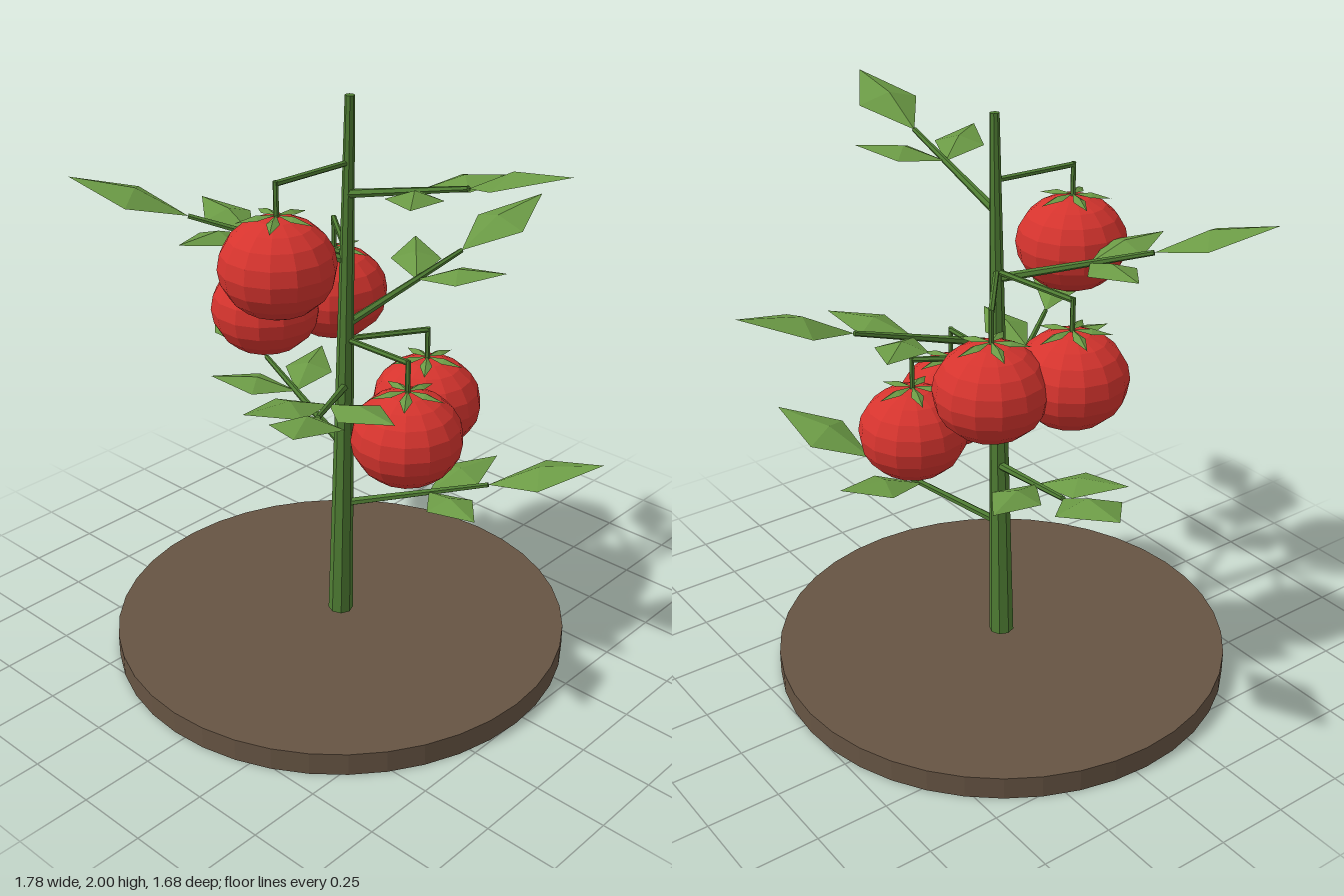
import * as THREE from 'three';

const mat = (name, color, extra = {}) => {
  const m = new THREE.MeshStandardMaterial({ color, flatShading: true, ...extra });
  m.name = name;
  return m;
};

export function createModel() {
  const soil = mat('soil brown', 0x665443);
  const stemGreen = mat('stem green', 0x4f7d33);
  const leafGreen = mat('leaf green', 0x6b9a45, { side: THREE.DoubleSide });
  const red = mat('fruit red', 0xd6342e);

  const model = new THREE.Group();
  model.name = 'fruitPlant';
  const V = (x, y, z) => new THREE.Vector3(x, y, z);
  const add = (parent, name, geo, material) => {
    const mesh = new THREE.Mesh(geo, material);
    mesh.name = name;
    parent.add(mesh);
    return mesh;
  };

  // Tapered rod between two points
  const rod = (parent, name, a, b, r0, r1, sides) => {
    const mesh = add(parent, name, new THREE.CylinderGeometry(r1, r0, a.distanceTo(b), sides), stemGreen);
    mesh.position.copy(a).lerp(b, 0.5);
    mesh.quaternion.setFromUnitVectors(V(0, 1, 0), b.clone().sub(a).normalize());
    return mesh;
  };

  // Kite-shaped leaf along +x with a raised middle
  const leafGeometry = (length, halfWidth, ridge) => {
    const m = length * 0.47;
    const base = [0, 0, 0], left = [m, 0, -halfWidth], right = [m, 0, halfWidth];
    const tip = [length, 0, 0], mid = [m, ridge, 0];
    const tris = [base, mid, left, left, mid, tip, tip, mid, right, right, mid, base];
    const geo = new THREE.BufferGeometry();
    geo.setAttribute('position', new THREE.Float32BufferAttribute(tris.flat(), 3));
    geo.computeVertexNormals();
    return geo;
  };
  const leaf = (parent, name, geo, pos, azimuth, pitch) => {
    const mesh = add(parent, name, geo, leafGreen);
    mesh.position.copy(pos);
    mesh.rotation.set(0, -azimuth, pitch, 'YXZ');
    return mesh;
  };

  // Soil disc and main stem
  add(model, 'soilDisc', new THREE.CylinderGeometry(0.8, 0.8, 0.08, 40), soil).position.set(-0.045, 0.04, 0.043);
  const stemAt = (y) => V(-0.045 + 0.05 * (y - 0.1) / 1.9, y, 0.043);
  rod(model, 'mainStem', stemAt(0.1), stemAt(2), 0.044, 0.016, 8);

  // Six leafy branches spiralling up the stem
  const bigLeaf = leafGeometry(0.4, 0.113, 0.035);
  const smallLeaf = leafGeometry(0.31, 0.088, 0.028);
  const deg = Math.PI / 180;
  for (let i = 0; i < 6; i++) {
    const branch = new THREE.Group();
    branch.name = 'branch' + (i + 1);
    model.add(branch);
    const az = (-29 - 137.5 * i) * deg;
    const start = stemAt(0.54 + 0.228 * i);
    const end = start.clone().add(V(0.51 * Math.cos(az), 0.14, 0.51 * Math.sin(az)));
    rod(branch, 'branchStem', start, end, 0.015, 0.009, 6);
    leaf(branch, 'endLeaf', bigLeaf, end, az, 18 * deg);
    const fork = start.clone().lerp(end, 0.6);
    for (const s of [-1, 1]) leaf(branch, 'sideLeaf', smallLeaf, fork, az + s * 50 * deg, 8 * deg);
  }

  // Hanging fruits, each with a bent stalk and a five-pointed calyx
  const fruitGeo = new THREE.SphereGeometry(0.188, 14, 10).scale(1, 0.87, 1);
  const sepalGeo = leafGeometry(0.13, 0.021, 0.012);
  const fruits = [
    [-0.02, 1.515, 0.345], [-0.345, 1.21, 0.09], [-0.27, 1.21, -0.17],
    [0.135, 0.905, -0.2], [0.26, 0.905, 0.045],
  ];
  fruits.forEach(([x, y, z], i) => {
    const fruit = new THREE.Group();
    fruit.name = 'fruit' + (i + 1);
    model.add(fruit);
    add(fruit, 'fruitBody', fruitGeo, red).position.set(x, y, z);
    const bend = V(x, y + 0.268, z);
    rod(fruit, 'stalkArm', stemAt(bend.y), bend, 0.01, 0.01, 6);
    rod(fruit, 'stalkDrop', V(x, bend.y + 0.008, z), V(x, y + 0.15, z), 0.009, 0.009, 6);
    for (let k = 0; k < 5; k++)
      leaf(fruit, 'sepal', sepalGeo, V(x, y + 0.168, z), (-90 + 72 * k) * deg, -8 * deg);
  });

  return model;
}
